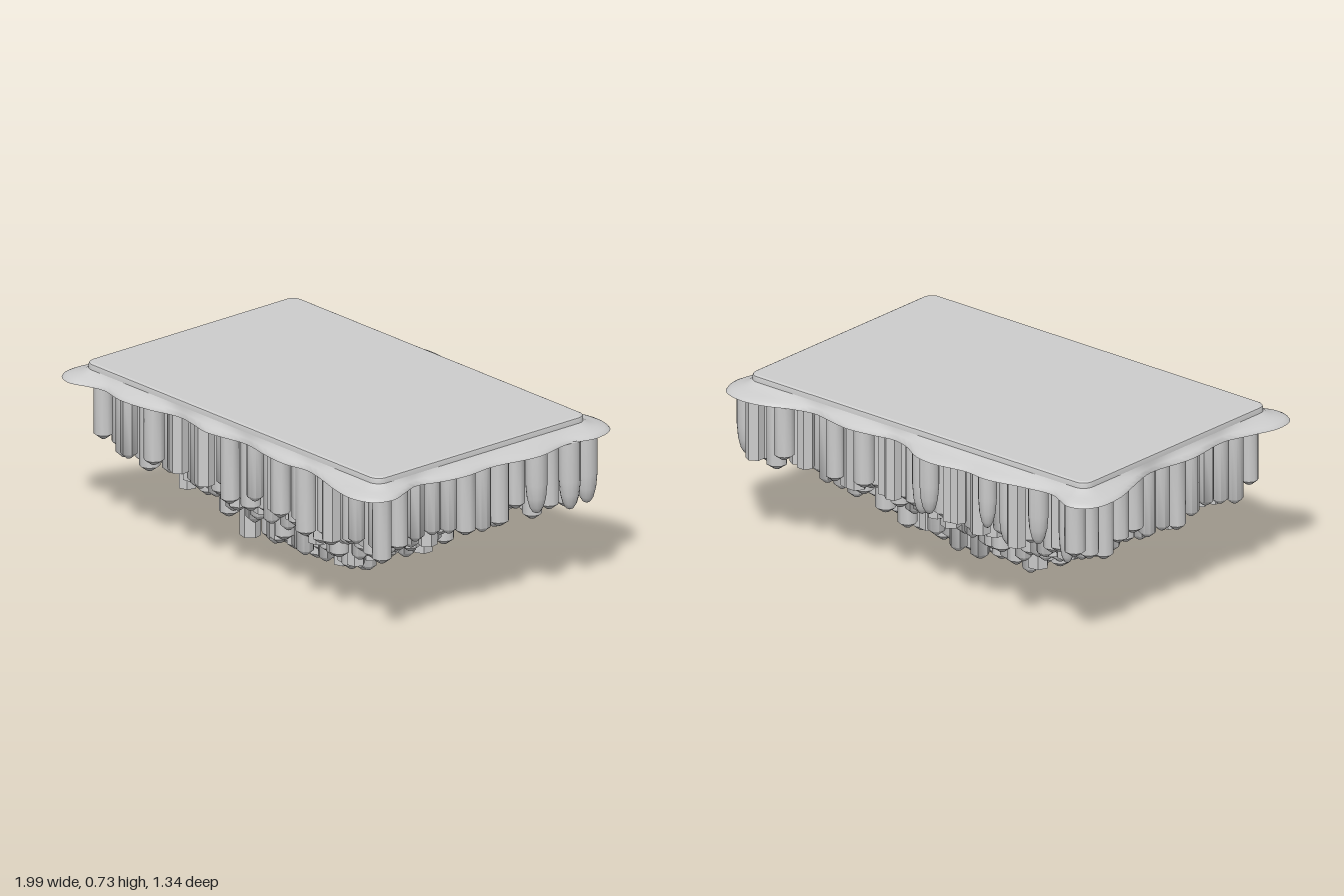
import * as THREE from 'three';
import { mergeGeometries, toCreasedNormals } from 'three/addons/utils/BufferGeometryUtils.js';

const stone = new THREE.MeshStandardMaterial({ color: 0xcccccc });
stone.name = 'pale grey stone';

// Wavy outer rim, clockwise from the back left corner: x, z pairs
const RIM = [
  -0.99, -0.58, -0.95, -0.64, -0.89, -0.66, -0.83, -0.635, -0.76, -0.607, -0.62, -0.625, -0.45, -0.66, -0.34, -0.65,
  -0.18, -0.675, -0.08, -0.66, 0.02, -0.605, 0.1, -0.587, 0.2, -0.605, 0.32, -0.62, 0.42, -0.605, 0.52, -0.587,
  0.62, -0.61, 0.74, -0.66, 0.85, -0.675, 0.95, -0.64, 0.99, -0.54, 0.965, -0.4, 0.995, -0.22, 0.96, 0,
  0.97, 0.15, 0.95, 0.27, 0.92, 0.375, 0.95, 0.46, 0.98, 0.55, 0.95, 0.63, 0.86, 0.665, 0.74, 0.65,
  0.6, 0.61, 0.5, 0.59, 0.38, 0.61, 0.25, 0.6, 0.11, 0.577, 0, 0.595, -0.1, 0.61, -0.2, 0.59,
  -0.3, 0.577, -0.45, 0.615, -0.6, 0.63, -0.73, 0.607, -0.8, 0.625, -0.89, 0.655, -0.97, 0.62, -0.995, 0.53,
  -0.96, 0.4, -0.92, 0.27, -0.94, 0.05, -0.91, -0.17, -0.95, -0.32, -0.99, -0.45,
];

function seeded(seed) {
  return () => {
    seed = (seed * 16807) % 2147483647;
    return seed / 2147483647;
  };
}

// Closed skin through a stack of equal-length loops, listed bottom to top
function loft(rings, crease) {
  const n = rings[0].length;
  const index = [];
  for (let j = 0; j < rings.length - 1; j++) {
    for (let i = 0; i < n; i++) {
      const k = (i + 1) % n;
      const a = j * n + i, b = j * n + k, c = b + n, d = a + n;
      index.push(a, d, c, a, c, b);
    }
  }
  const g = new THREE.BufferGeometry();
  const flat = rings.flat().flatMap((p) => [p.x, p.y, p.z]);
  g.setAttribute('position', new THREE.Float32BufferAttribute(flat, 3));
  g.setIndex(index);
  return toCreasedNormals(g, crease);
}

function rimLoop() {
  const pts = [];
  for (let i = 0; i < RIM.length; i += 2) pts.push(new THREE.Vector3(RIM[i], 0, RIM[i + 1]));
  return new THREE.CatmullRomCurve3(pts, true).getSpacedPoints(320).slice(0, 320);
}

// Nearest point on the rounded slab outline
function slabPoint(p, inset = 0) {
  const core = new THREE.Vector3(
    THREE.MathUtils.clamp(p.x, -0.85, 0.85), 0, THREE.MathUtils.clamp(p.z, -0.515, 0.515));
  return core.add(p.clone().sub(core).setLength(0.05 - inset));
}

const raise = (loop, y) => loop.map((p) => new THREE.Vector3(p.x, y, p.z));
const centre = (loop, y) => loop.map(() => new THREE.Vector3(0, y, 0));

// Lower ends as [share of radius, height] pairs
const TIPS = {
  pointed: [[0, 0], [0.3, 0.004], [1, 0.026]],
  flat: [[0, 0], [1, 0]],
  round: [[0, 0], [0.35, 0.008], [0.65, 0.03], [0.88, 0.07], [1, 0.13]],
};

// Hanging column, closed at the lower end
function column(x, z, bottom, r, sides, kind, turn) {
  const pts = TIPS[kind].map(([k, y]) => new THREE.Vector2(k * r, bottom + y));
  pts.push(new THREE.Vector2(r, 0.66));
  const g = toCreasedNormals(new THREE.LatheGeometry(pts, sides), 0.85);
  g.rotateY(turn);
  g.translate(x, 0, z);
  return g;
}

// Height of the column ends, rising from the middle to the edges
function endHeight(x, z) {
  const d = Math.max(Math.abs(x) / 0.9, Math.abs(z) / 0.555);
  const steps = [[0, 0.005], [0.28, 0.01], [0.44, 0.085], [0.62, 0.215], [0.8, 0.285], [1.2, 0.39]];
  const i = steps.findIndex((s) => s[0] > d);
  const [d0, y0] = steps[i - 1];
  const [d1, y1] = steps[i];
  return y0 + ((y1 - y0) * (d - d0)) / (d1 - d0);
}

export function createModel() {
  const model = new THREE.Group();
  const add = (geometry, name) => {
    const mesh = new THREE.Mesh(geometry, stone);
    mesh.name = name;
    model.add(mesh);
  };

  const rim = rimLoop();
  const edge = rim.map((p) => slabPoint(p));
  const between = (t) => rim.map((p, i) => p.clone().lerp(edge[i], t));

  // Flared skirt with a flat underside
  add(loft([
    centre(rim, 0.655), raise(rim, 0.655), raise(between(0.05), 0.662), raise(between(0.2), 0.669),
    raise(between(0.5), 0.677), raise(between(0.8), 0.686), raise(edge, 0.699),
  ], 0.7), 'skirt');

  // Flat top with a softened edge
  add(loft([
    raise(edge, 0.67), raise(edge, 0.713), raise(rim.map((p) => slabPoint(p, 0.003)), 0.721),
    raise(rim.map((p) => slabPoint(p, 0.012)), 0.726), centre(rim, 0.726),
  ], 0.4), 'topSlab');

  // Honeycomb of hanging columns: every other file is shifted half a step
  const rand = seeded(4217);
  const groups = { pointed: [], flat: [], round: [] };
  const place = (x, z, kind, r) => {
    const sides = { pointed: 6 + 2 * Math.floor(rand() * 3), flat: 6, round: 14 }[kind];
    const bottom = endHeight(x, z) + rand() * 0.075;
    groups[kind].push(column(x, z, bottom, r, sides, kind, rand() * Math.PI));
  };
  for (let file = 0; file < 23; file++) {
    const shifted = file % 2;
    for (let row = 0; row < 13 - shifted; row++) {
      const x = 0.847 - file * 0.0775;
      const z = 0.495 - (row + shifted / 2) * 0.0895;
      if (rim.some((p) => Math.hypot(p.x - x, p.z - z) < 0.04)) continue;
      const pick = rand();
      const kind = z < -0.5 && pick < 0.5 ? 'round' : pick > 0.85 ? 'flat' : 'pointed';
      place(x, z, kind, 0.035 + rand() * 0.009);
    }
  }
  // Thicker rounded columns under the bulges of the right edge
  for (const z of [-0.265, -0.444, -0.534]) place(0.925, z, 'round', 0.045);
  // Longest column, reaching the base
  groups.pointed.push(column(-0.238, 0.0475, 0, 0.044, 8, 'pointed', 0));
  for (const kind in groups) add(mergeGeometries(groups[kind]), kind + 'Columns');

  return model;
}
